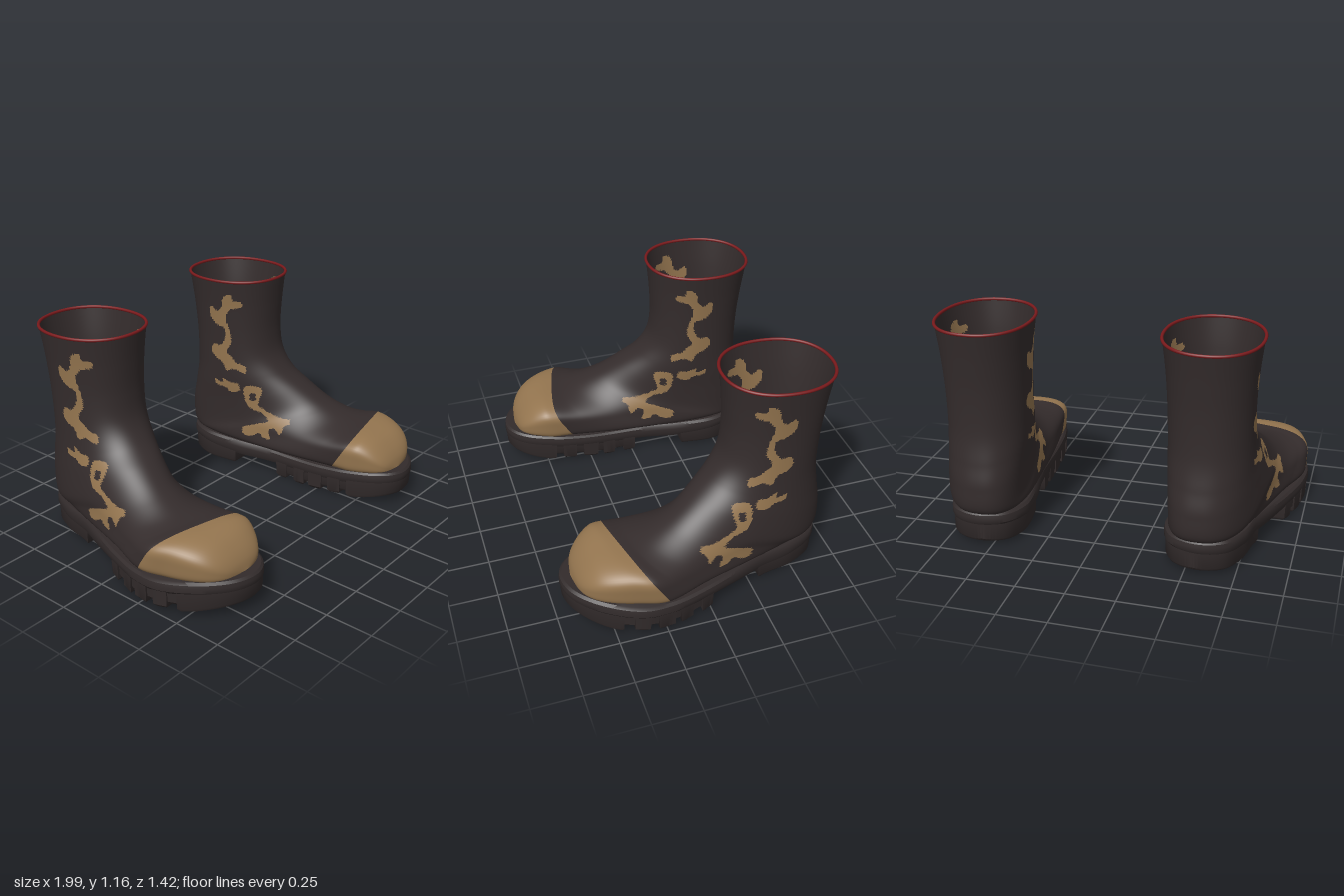
import * as THREE from 'three';
import { toCreasedNormals } from 'three/addons/utils/BufferGeometryUtils.js';

const leather = new THREE.MeshStandardMaterial({ name: 'dark brown leather', color: 0x342c2c, side: THREE.DoubleSide });
const tan = new THREE.MeshStandardMaterial({ name: 'tan', color: 0x94754f, side: THREE.DoubleSide });
const rubber = new THREE.MeshStandardMaterial({ name: 'dark rubber', color: 0x322b2b });
const red = new THREE.MeshStandardMaterial({ name: 'dark red trim', color: 0x7a1a1c });

// Sections of the upper, from the opening round the ankle to the toe tip:
// front z, y, back z, y, half width, centre x at front and back, roundness at front and back
const SECTIONS = [
  [-0.145, 1.16, -0.705, 1.14, 0.24, 0.572, 0.572, 2.2, 2.2],
  [-0.16, 1.0, -0.68, 0.98, 0.222, 0.572, 0.572, 2.2, 2.2],
  [-0.165, 0.84, -0.66, 0.8, 0.212, 0.572, 0.572, 2.2, 2.2],
  [-0.145, 0.71, -0.655, 0.6, 0.21, 0.58, 0.57, 2.2, 2.2],
  [-0.08, 0.61, -0.675, 0.45, 0.212, 0.60, 0.565, 2.2, 2.3],
  [0.02, 0.53, -0.695, 0.32, 0.215, 0.64, 0.56, 2.2, 2.4],
  [0.12, 0.46, -0.675, 0.185, 0.22, 0.675, 0.56, 2.2, 2.6],
  [0.2, 0.42, -0.52, 0.165, 0.222, 0.695, 0.565, 2.2, 4],
  [0.28, 0.39, -0.25, 0.16, 0.23, 0.71, 0.61, 2.3, 6],
  [0.35, 0.375, 0.03, 0.16, 0.25, 0.72, 0.66, 2.6, 6],
  [0.41, 0.375, 0.28, 0.16, 0.266, 0.72, 0.72, 3, 6],
  [0.48, 0.37, 0.42, 0.165, 0.247, 0.71, 0.71, 3.2, 6],
  [0.55, 0.345, 0.53, 0.17, 0.212, 0.70, 0.70, 3, 5],
  [0.605, 0.3, 0.6, 0.175, 0.165, 0.69, 0.69, 2.8, 4],
  [0.64, 0.25, 0.637, 0.18, 0.105, 0.68, 0.68, 2.5, 3],
  [0.655, 0.2, 0.655, 0.19, 0.01, 0.67, 0.67, 2, 2],
];
const CAP = 10; // section where the toe cap begins

// Camouflage outlines in hundredths, z then y; the last one is a hole
const PATCHES = [
  [-30,108, -35,106, -36,101, -39,97, -44,99, -45,94, -41,89, -35,87, -35,81, -38,76, -43,76, -45,72, -42,68, -37,66, -34,61,
    -30,63, -23,61, -23,65, -28,67, -31,70, -34,73, -31,79, -32,87, -34,94, -31,99, -25,101, -25,104, -29,104],
  [-27,54, -32,54, -37,56, -37,53, -43,54, -42,51, -35,50, -32,48, -26,50],
  [-14,53, -23,53, -23,44, -20,40, -13,38, -8,34, -13,32, -20,29, -24,27, -23,23, -18,23, -13,26, -10,24, -5,24, -7,29,
    -4,31, 1,28, 2,33, 5,35, 4,37, -1,37, -5,38, -11,40, -15,43, -14,48],
  [-17,49, -20,49, -20,45, -17,45],
].map((flat) => {
  const pts = [];
  for (let i = 0; i < flat.length; i += 2) pts.push(new THREE.Vector3(flat[i] / 100, flat[i + 1] / 100, 0));
  return new THREE.CatmullRomCurve3(pts, true).getPoints(pts.length * 3).slice(0, -1);
});

// Even-odd test against all patch outlines
function inPatch(z, y) {
  let inside = false;
  for (const loop of PATCHES) {
    for (let i = 0, j = loop.length - 1; i < loop.length; j = i++) {
      const a = loop[i], b = loop[j];
      if ((a.y > y) !== (b.y > y) && z < (b.x - a.x) * (y - a.y) / (b.y - a.y) + a.x) inside = !inside;
    }
  }
  return inside;
}

// Smooth blend of the section table at position k
function sectionAt(k) {
  const n = SECTIONS.length - 1, i = Math.min(Math.floor(k), n - 1), t = k - i;
  const row = (j) => SECTIONS[THREE.MathUtils.clamp(j, 0, n)];
  return SECTIONS[0].map((_, c) => {
    const p0 = row(i - 1)[c], p1 = row(i)[c], p2 = row(i + 1)[c], p3 = row(i + 2)[c];
    const v0 = (p2 - p0) / 2, v1 = (p3 - p1) / 2;
    return (2 * p1 - 2 * p2 + v0 + v1) * t ** 3 + (-3 * p1 + 3 * p2 - 2 * v0 - v1) * t * t + v0 * t + p1;
  });
}

// One closed superellipse ring of the upper
function upperRing(k, count, side) {
  const [fz, fy, bz, by, w, cf, cb, nf, nb] = sectionAt(k);
  const skew = 0.06 * Math.exp(-(((k - CAP) / 1.5) ** 2));
  return Array.from({ length: count }, (_, j) => {
    const a = (j / count) * Math.PI * 2, c = Math.cos(a), s = Math.sin(a), n = c > 0 ? nf : nb;
    const r = (Math.abs(c) ** n + Math.abs(s) ** n) ** (-1 / n);
    const h = (1 + c * r) / 2, x = s * r;
    return new THREE.Vector3(side * (cb + (cf - cb) * h + x * w), by + (fy - by) * h, bz + (fz - bz) * h - skew * x);
  });
}

// Skin closed rings, facing outward; pick(z, y) sends a triangle to the second material
function loft(rings, pick) {
  const n = rings[0].length, pts = rings.flat(), tris = [];
  for (let i = 0; i < rings.length - 1; i++) {
    for (let j = 0; j < n; j++) {
      const a = i * n + j, b = i * n + (j + 1) % n;
      tris.push([a, b, a + n], [b, b + n, a + n]);
    }
  }
  const mid = pts.reduce((m, p) => m.add(p), new THREE.Vector3()).divideScalar(pts.length);
  const u = new THREE.Vector3(), v = new THREE.Vector3(), w = new THREE.Vector3();
  let volume = 0;
  for (const [a, b, c] of tris) volume += u.subVectors(pts[a], mid).dot(v.subVectors(pts[b], mid).cross(w.subVectors(pts[c], mid)));
  const parts = [[], []];
  for (const [a, b, c] of tris) {
    const hit = pick && pick((pts[a].z + pts[b].z + pts[c].z) / 3, (pts[a].y + pts[b].y + pts[c].y) / 3);
    parts[hit ? 1 : 0].push(a, ...(volume < 0 ? [c, b] : [b, c]));
  }
  const geo = new THREE.BufferGeometry().setFromPoints(pts);
  geo.setIndex(parts[0].concat(parts[1]));
  if (pick) {
    geo.addGroup(0, parts[0].length, 0);
    geo.addGroup(parts[0].length, parts[1].length, 1);
  }
  geo.computeVertexNormals();
  return geo;
}

// Plan outline of the sole as x, z
const OUTLINE = new THREE.CatmullRomCurve3([
  [0.66, 0.71], [0.78, 0.68], [0.9, 0.57], [0.99, 0.38], [0.985, 0.22], [0.93, 0.02], [0.87, -0.15], [0.81, -0.32],
  [0.775, -0.5], [0.7, -0.635], [0.57, -0.68], [0.43, -0.635], [0.365, -0.5], [0.38, -0.3], [0.42, -0.1],
  [0.435, 0.1], [0.44, 0.3], [0.455, 0.45], [0.51, 0.61], [0.58, 0.685],
].map(([x, z]) => new THREE.Vector3(x, 0, z)), true).getPoints(200).slice(0, -1);

// Height along z, through a few [z, y] points
const heights = (list) => (z) => {
  let i = 0;
  while (i < list.length - 2 && z > list[i + 1][0]) i++;
  const [[z0, y0], [z1, y1]] = [list[i], list[i + 1]];
  return y0 + (y1 - y0) * THREE.MathUtils.smoothstep(z, z0, z1);
};
const weltTop = heights([[-0.68, 0.185], [0.1, 0.16], [0.71, 0.2]]);
const weltBottom = heights([[-0.68, 0.115], [-0.2, 0.085], [0.1, 0.09], [0.71, 0.13]]);
const treadBottom = heights([[-0.65, 0.024], [-0.25, 0.02], [0.15, 0.003], [0.45, 0.028], [0.72, 0.065]]);

// Solid slice of the sole; layers are [inset, height function], closed underneath
function soleSolid(z0, z1, layers, side) {
  const plan = OUTLINE.filter((p) => p.z >= z0 && p.z <= z1);
  const cx = plan.reduce((s, p) => s + p.x, 0) / plan.length;
  const zs = plan.map((p) => p.z), lo = Math.min(...zs), hi = Math.max(...zs), cz = (lo + hi) / 2;
  const half = (hi - lo) / 2;
  const ring = (inset, height, shrink) => plan.map((p) => {
    const x = cx + (p.x - cx) * (1 - inset / 0.26) * shrink;
    const z = cz + (p.z - cz) * (1 - inset / half) * shrink;
    return new THREE.Vector3(side * x, height(z), z);
  });
  const last = layers[layers.length - 1];
  const rings = layers.map(([inset, height]) => ring(inset, height, 1));
  for (const s of [0.7, 0.35, 0.001]) rings.push(ring(last[0], last[1], s));
  return toCreasedNormals(loft(rings), 0.6);
}

function makeBoot(side) {
  const boot = new THREE.Group();
  boot.name = side > 0 ? 'leftBoot' : 'rightBoot';
  const add = (name, geo, mat) => {
    const mesh = new THREE.Mesh(geo, mat);
    mesh.name = name;
    boot.add(mesh);
  };
  const span = (from, to, steps, count) =>
    Array.from({ length: steps + 1 }, (_, i) => upperRing(from + ((to - from) * i) / steps, count, side));

  // Upper with camouflage, toe cap and opening trim
  add('upper', loft(span(0, CAP, 150, 160), inPatch), [leather, tan]);
  add('toeCap', loft(span(CAP, SECTIONS.length - 1, 30, 80)), tan);
  const rim = new THREE.CatmullRomCurve3(upperRing(0, 40, side), true);
  add('openingTrim', new THREE.TubeGeometry(rim, 80, 0.008, 8, true), red);

  // Welt with a rounded edge
  const between = (f) => (z) => weltBottom(z) + (weltTop(z) - weltBottom(z)) * f;
  add('welt', soleSolid(-1, 1, [[0.06, between(1)], [0.015, between(1)], [0.003, between(0.85)], [0, between(0.6)],
    [0, between(0.3)], [0.012, between(0)]], side), rubber);

  // Forefoot base, lugs and heel block
  const tread = (lift, inset) => [[inset, (z) => weltBottom(z) + 0.015], [inset + 0.003, (z) => treadBottom(z) + lift + 0.015],
    [inset + 0.014, (z) => treadBottom(z) + lift]];
  add('forefootSole', soleSolid(-0.03, 1, tread(0.025, 0.01), side), rubber);
  for (const [z0, z1] of [[0.44, 1], [0.32, 0.435], [0.2, 0.315], [0.08, 0.195], [-0.03, 0.075]]) {
    add('treadLug', soleSolid(z0, z1, tread(0, 0.004), side), rubber);
  }
  add('heelBlock', soleSolid(-1, -0.27, tread(0, 0.008), side), rubber);
  return boot;
}

export function createModel() {
  const model = new THREE.Group();
  model.name = 'bootPair';
  model.add(makeBoot(1), makeBoot(-1));
  return model;
}
